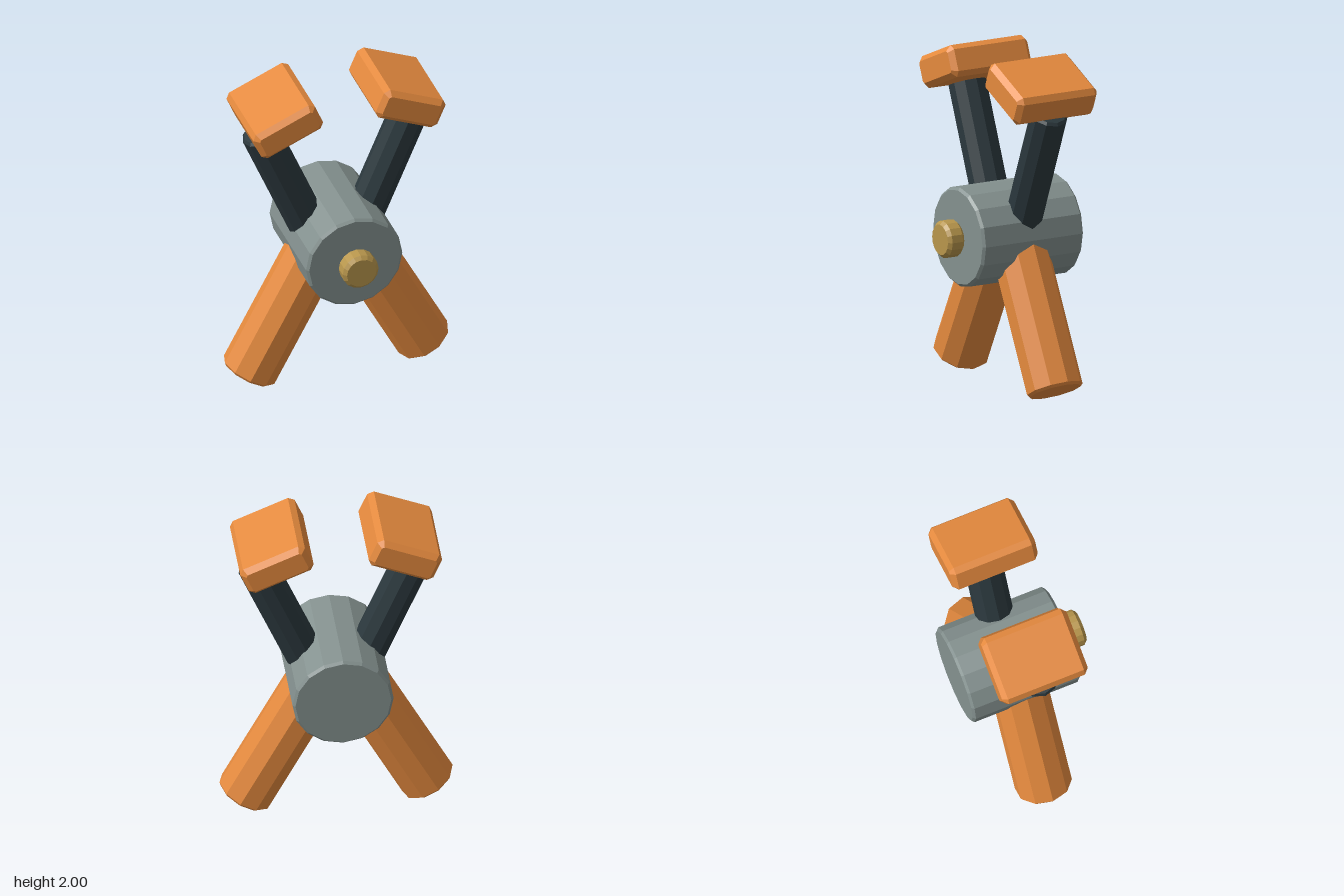
import * as THREE from 'three';

const mat = (color) => new THREE.MeshStandardMaterial({ color, flatShading: true });
const ORANGE = mat(0xe58a3e), DARK = mat(0x2b383d), STEEL = mat(0x84918f), BRASS = mat(0xb8964c);
const MID_Z = -0.06;

// Solid rod along +y from the origin, with chamfered ends and a corner facing +x
function rodGeometry(r, length, sides, c) {
  const profile = [[0, 0], [r - c, 0], [r, c], [r, length - c], [r - c, length], [0, length]];
  return new THREE.LatheGeometry(profile.map(([x, y]) => new THREE.Vector2(x, y)), sides).rotateY(Math.PI / 2);
}

// Box with all edges chamfered by c, centred on the origin
function chamferBox(w, h, d, c) {
  const x = w / 2, y = h / 2;
  const outline = [[x - c, -y], [x, c - y], [x, y - c], [x - c, y], [c - x, y], [-x, y - c], [-x, c - y], [c - x, -y]];
  const shape = new THREE.Shape(outline.map(([px, py]) => new THREE.Vector2(px, py)));
  return new THREE.ExtrudeGeometry(shape, {
    depth: d - 2 * c, bevelEnabled: true, bevelSegments: 1,
    bevelSize: c, bevelThickness: c, bevelOffset: -c,
  }).translate(0, 0, c - d / 2);
}

export function createModel() {
  const model = new THREE.Group();
  model.name = 'model';

  const add = (name, geometry, material, x, y, z, tilt = 0) => {
    const mesh = new THREE.Mesh(geometry, material);
    mesh.name = name;
    mesh.position.set(x, y, z);
    mesh.rotation.z = tilt;
    model.add(mesh);
  };

  // Central hub and its front knob, both lying along z
  add('hub', rodGeometry(0.295, 0.675, 16, 0.015).rotateX(Math.PI / 2), STEEL, 0, 0.92, -0.398);
  add('knob', rodGeometry(0.11, 0.11, 16, 0.02).rotateX(Math.PI / 2), BRASS, 0, 0.92, 0.287);

  const armTilt = THREE.MathUtils.degToRad(23);
  const legTilt = THREE.MathUtils.degToRad(28);
  const armGeometry = rodGeometry(0.113, 0.84, 10, 0.015);
  const legGeometry = rodGeometry(0.168, 0.9, 10, 0.015);
  const padGeometry = chamferBox(0.41, 0.19, 0.535, 0.03);

  for (const [side, s] of [['left', 1], ['right', -1]]) {
    // Thick leg rising inward from the ground
    add(side + 'Leg', legGeometry, ORANGE, s * 0.539, 0.072, MID_Z, s * legTilt);
    // Thin arm leaning outward from the hub
    add(side + 'Arm', armGeometry, DARK, s * 0.142, 0.947, MID_Z, -s * armTilt);
    // Block pad square to the end of the arm
    add(side + 'Pad', padGeometry, ORANGE, s * 0.375, 1.844, MID_Z, -s * armTilt);
  }
  return model;
}
